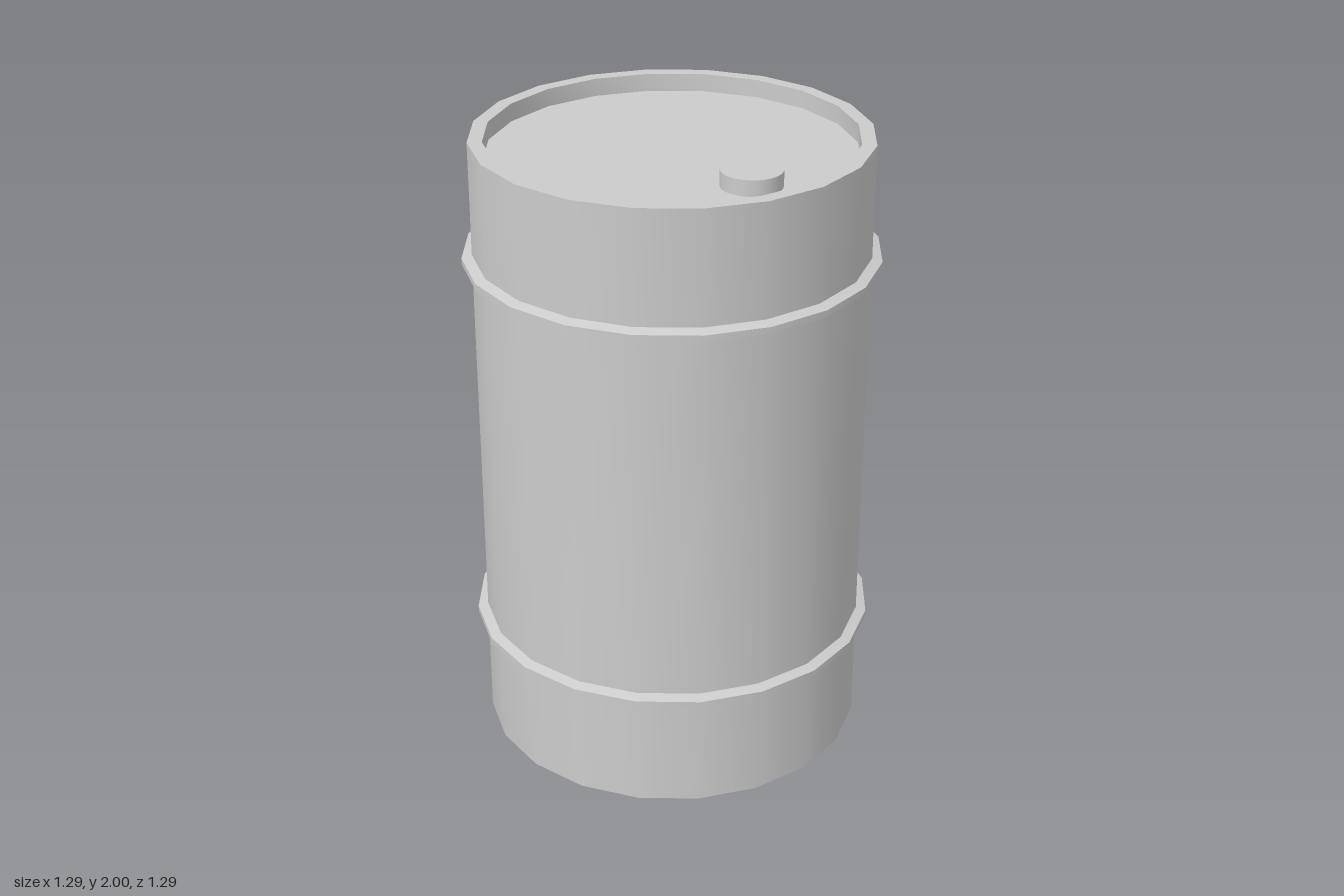
import * as THREE from 'three';
import { toCreasedNormals } from 'three/addons/utils/BufferGeometryUtils.js';

const SIDES = 20;
const HEIGHT = 2;
const RADIUS = 0.613;
const RIM_INNER = 0.568;
const RECESS = 0.057;

const material = new THREE.MeshStandardMaterial({ color: 0xcccccc });

// Revolve a profile of [radius, y] pairs, smooth around, sharp at profile corners
function revolve(name, profile) {
  const points = profile.map(([r, y]) => new THREE.Vector2(r, y));
  const geometry = toCreasedNormals(new THREE.LatheGeometry(points, SIDES), Math.PI / 9);
  const mesh = new THREE.Mesh(geometry, material);
  mesh.name = name;
  return mesh;
}

export function createModel() {
  const barrel = new THREE.Group();
  barrel.name = 'barrel';

  // Drum wall with raised rims
  barrel.add(revolve('drumWall', [
    [RIM_INNER, RECESS],
    [RIM_INNER, 0],
    [RADIUS, 0],
    [RADIUS, HEIGHT],
    [RIM_INNER, HEIGHT],
    [RIM_INNER, HEIGHT - RECESS],
  ]));

  // Recessed base and lid
  for (const [name, y, tilt] of [['base', RECESS, 1], ['lid', HEIGHT - RECESS, -1]]) {
    const disc = new THREE.Mesh(new THREE.CircleGeometry(RIM_INNER, SIDES), material);
    disc.name = name;
    disc.rotation.x = tilt * Math.PI / 2;
    disc.position.y = y;
    barrel.add(disc);
  }

  // Bevelled hoops around the wall
  for (const [name, y] of [['lowerHoop', 0.381], ['upperHoop', 1.622]]) {
    const hoop = revolve(name, [
      [RADIUS, -0.02],
      [0.645, -0.01],
      [0.645, 0.01],
      [RADIUS, 0.02],
    ]);
    hoop.position.y = y;
    barrel.add(hoop);
  }

  // Filler cap on the lid
  const cap = new THREE.Mesh(new THREE.CylinderGeometry(0.093, 0.093, 0.05, 32), material);
  cap.name = 'fillerCap';
  cap.position.set(0.362, HEIGHT - RECESS + 0.025, 0.03);
  barrel.add(cap);

  return barrel;
}
